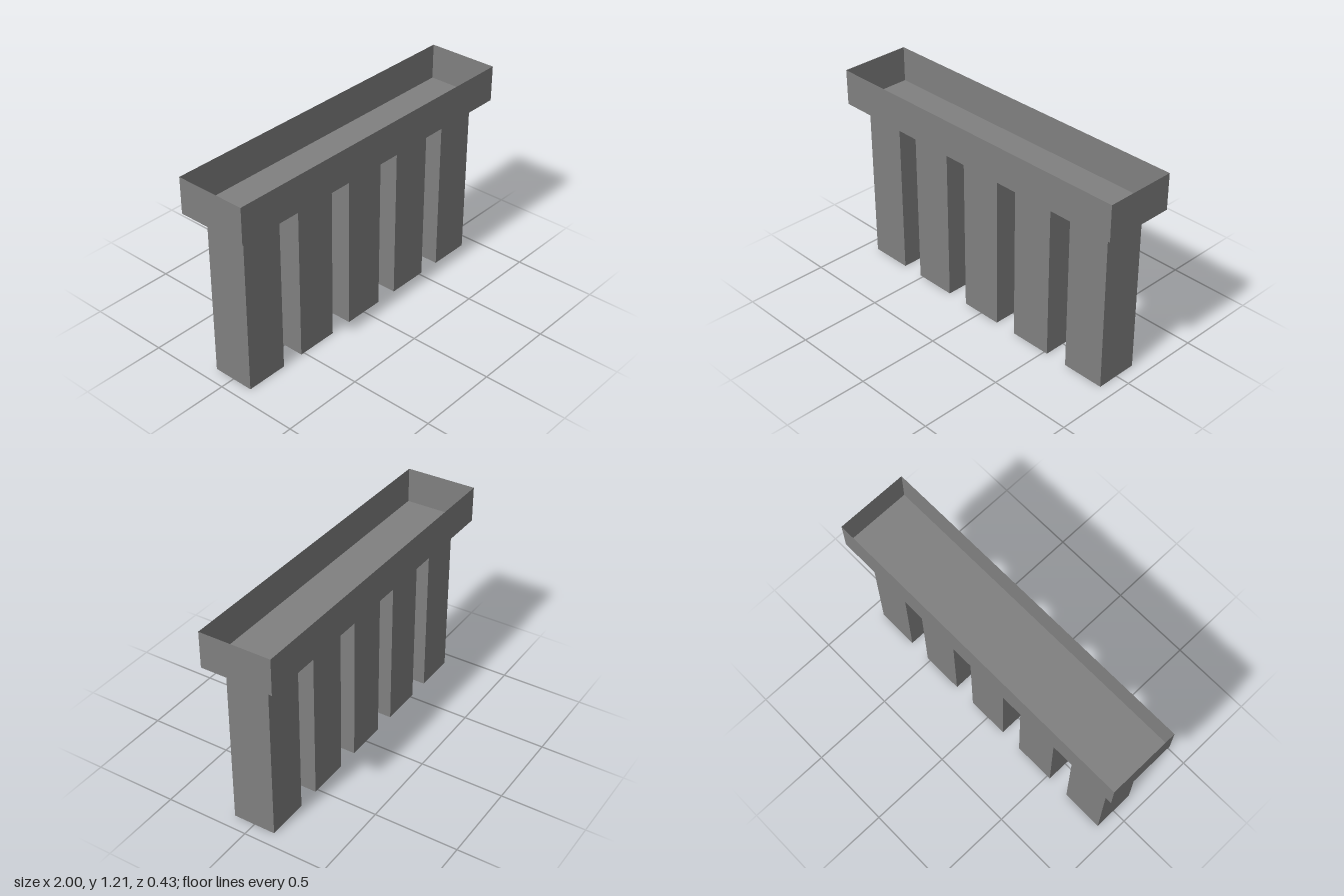
import * as THREE from 'three';

// Thin box shell with the listed sides left out (0 +x, 1 -x, 2 +y, 3 -y, 4 +z, 5 -z)
function openBox(width, height, depth, openSides) {
  const geometry = new THREE.BoxGeometry(width, height, depth);
  const index = Array.from(geometry.index.array);
  const kept = geometry.groups
    .filter((g) => !openSides.includes(g.materialIndex))
    .flatMap((g) => index.slice(g.start, g.start + g.count));
  geometry.setIndex(kept);
  geometry.clearGroups();
  return geometry;
}

export function createModel() {
  const model = new THREE.Group();
  model.name = 'trayOnPillars';

  const grey = new THREE.MeshStandardMaterial({ color: 0x808080, side: THREE.DoubleSide });
  grey.name = 'grey';

  const pillarHeight = 1;
  const pillarWidth = 0.256;
  const pillarSpacing = 0.393;
  const trayHeight = 0.214;

  // Long tray, open at the top
  const tray = new THREE.Mesh(openBox(2, trayHeight, 0.428, [2]), grey);
  tray.name = 'tray';
  tray.position.y = pillarHeight + trayHeight / 2;
  model.add(tray);

  // Five hollow pillars, open at the foot and closed above by the tray floor
  const pillarGeometry = openBox(pillarWidth, pillarHeight, pillarWidth, [2, 3]);
  for (let i = -2; i <= 2; i++) {
    const pillar = new THREE.Mesh(pillarGeometry, grey);
    pillar.name = `pillar${i + 3}`;
    pillar.position.set(i * pillarSpacing, pillarHeight / 2, 0);
    model.add(pillar);
  }

  return model;
}
